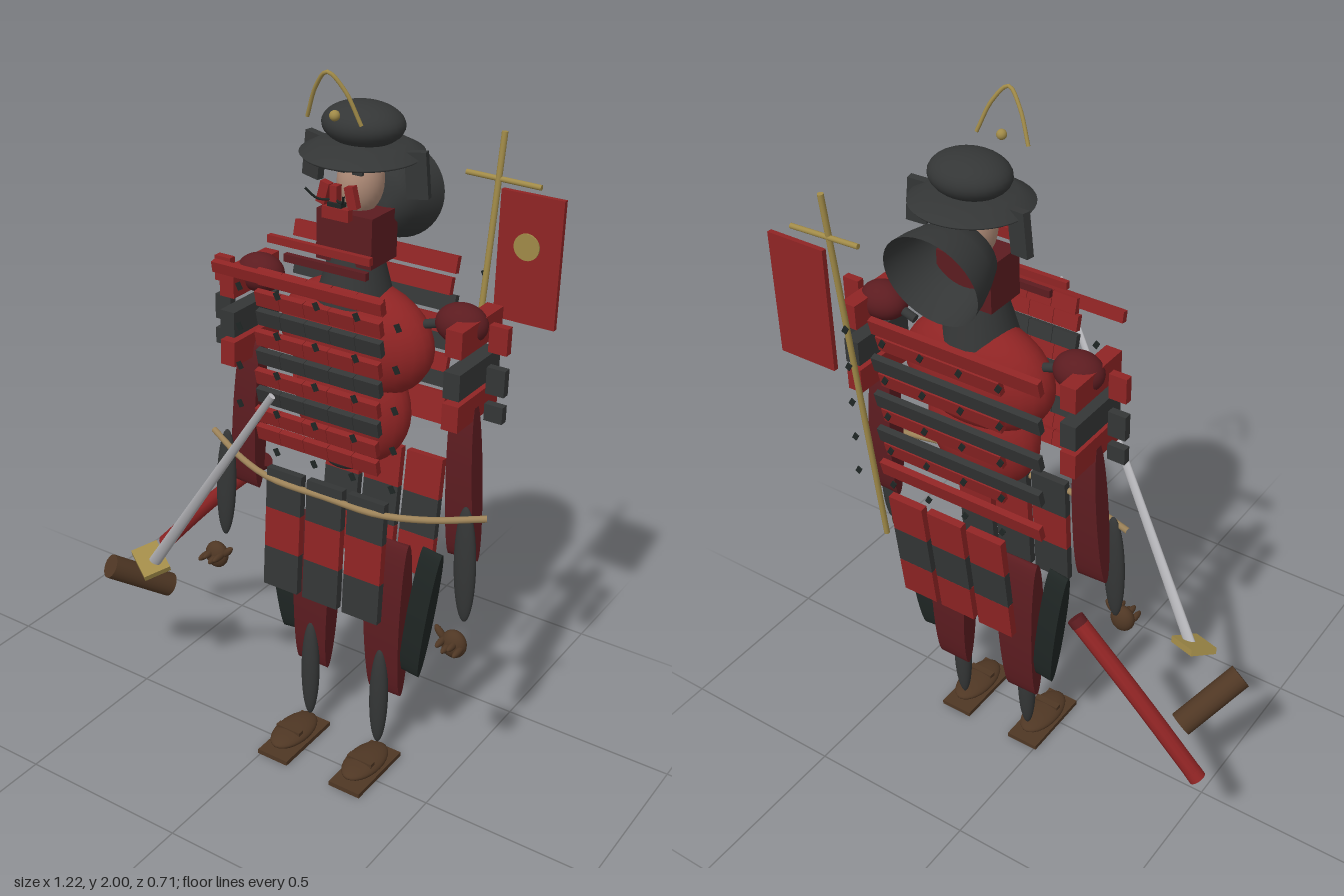
import * as THREE from 'three';

const RED = 0x8f2424, MAROON = 0x5c1c20, DARK = 0x343636, GREEN = 0x1f2624,
  GOLD = 0xa08a48, TAN = 0x9c8258, BROWN = 0x4f3724, STEEL = 0xb4b4b8, SKIN = 0xb08c78;
const CX = 0.165, CZ = -0.11; // body axis
const SIDES = [-1, 1];

export function createModel() {
  const root = new THREE.Group();
  const mats = {};
  const mat = (c) => (mats[c] ??= new THREE.MeshStandardMaterial({ color: c }));
  const V = (p) => new THREE.Vector3(...p);

  function add(name, geo, color, pos = [0, 0, 0], rot = [0, 0, 0], scale = [1, 1, 1]) {
    const m = new THREE.Mesh(geo, mat(color));
    m.name = name;
    m.position.set(...pos);
    m.rotation.set(...rot);
    m.scale.set(...scale);
    root.add(m);
    return m;
  }
  const box = (name, color, size, pos, rot) => add(name, new THREE.BoxGeometry(...size), color, pos, rot);
  const ball = (name, color, radii, pos, rot) =>
    add(name, new THREE.SphereGeometry(1, 28, 18), color, pos, rot, radii);
  const tube = (name, color, pts, r) =>
    add(name, new THREE.TubeGeometry(new THREE.CatmullRomCurve3(pts.map(V)), 24, r, 10), color);
  // straight rod between two points
  function rod(name, color, a, b, r, r2 = r) {
    const d = V(b).sub(V(a));
    const m = add(name, new THREE.CylinderGeometry(r2, r, d.length(), 18), color);
    m.position.copy(V(a)).addScaledVector(d, 0.5);
    m.quaternion.setFromUnitVectors(new THREE.Vector3(0, 1, 0), d.normalize());
    return m;
  }
  // panel with a lens-shaped side profile, wider or narrower at the top
  function lens(name, color, w, h, d, pos, rot, taper = 0) {
    const g = new THREE.CylinderGeometry(0.5, 0.5, 1, 32).rotateZ(Math.PI / 2);
    const p = g.attributes.position;
    for (let i = 0; i < p.count; i++) p.setX(i, p.getX(i) * (1 + taper * p.getY(i)));
    g.computeVertexNormals();
    return add(name, g, color, pos, rot, [w, h, d]);
  }

  // Torso
  ball('chest', RED, [0.222, 0.16, 0.113], [CX, 1.29, CZ]);
  ball('belly', RED, [0.17, 0.17, 0.09], [CX, 1.105, -0.1]);
  ball('pelvis', DARK, [0.07, 0.045, 0.06], [CX, 0.97, -0.08]);
  add('collar', new THREE.CylinderGeometry(0.065, 0.1, 0.13, 28), DARK, [CX, 1.465, -0.1]);
  box('neckGuard', MAROON, [0.16, 0.13, 0.12], [CX, 1.57, -0.1]);

  // Laced armour rows, front and back
  for (let r = 0; r < 9; r++) {
    const y = 1.46 - r * 0.054;
    const c = r === 2 || r === 4 || r === 6 ? DARK : RED;
    for (let k = 0; k < 5; k++)
      box('chestPlate', c, [0.072, 0.042, 0.018], [0.009 + k * 0.0735, y, 0.05 + (r % 2) * 0.006], [0.25, 0, 0]);
    if (r % 2 === 0) {
      box('backPlate', c, [0.5, 0.045, 0.018], [0.095, y, -0.302], [-0.25, 0, 0]);
      for (let k = 0; k < 5; k++) for (const z of [0.094, -0.332])
        box('lacing', GREEN, [0.014, 0.02, 0.004], [-0.055 + k * 0.115, y - 0.02, z], [0, 0, 0.5]);
    } else box('backPlate', c, [0.37, 0.045, 0.018], [0.155, y, -0.285], [-0.25, 0, 0]);
  }
  box('upperChestPlate', RED, [0.5, 0.03, 0.018], [0.095, 1.465, 0.065], [0.2, 0, 0]);
  box('throatPlate', RED, [0.3, 0.02, 0.015], [0.12, 1.545, 0]);
  box('throatPlate', MAROON, [0.24, 0.02, 0.015], [0.14, 1.505, 0]);

  // Skirt panels
  for (let k = 0; k < 3; k++) for (let r = 0; r < 3; r++) {
    const x = 0.04 + k * 0.1275, y = 0.855 - r * 0.118;
    box('frontSkirtPanel', r === 1 ? RED : DARK, [0.11, 0.118, 0.022], [x, y, 0.03 + (r - 1) * 0.006], [-0.05, 0, 0]);
    box('backSkirtPanel', r === 1 ? DARK : RED, [0.11, 0.118, 0.022], [x, y, -0.27 + r * 0.013], [-0.11, 0, 0]);
  }
  tube('belt', TAN, [[-0.26, 0.915, -0.06], [-0.13, 0.892, -0.005], [0, 0.883, 0.032], [CX, 0.88, 0.03],
    [0.33, 0.883, 0.032], [0.46, 0.892, -0.005], [0.595, 0.915, -0.06]], 0.009);

  // Arms and legs, mirrored about the body axis
  for (const s of SIDES) {
    const X = (d) => CX + s * d;
    ball('shoulder', MAROON, [0.068, 0.052, 0.055], [X(0.3), 1.395, CZ]);
    rod('shoulderJoint', DARK, [X(0.2), 1.37, CZ], [X(0.26), 1.39, CZ], 0.012);
    [[1.385, RED, RED], [1.275, DARK, DARK], [1.19, RED, DARK]].forEach(([y, a, b]) => {
      box('shoulderGuard', a, [0.045, 0.07, 0.205], [X(0.335), y, CZ]);
      box('shoulderGuardEdge', b, [0.05, y < 1.2 ? 0.045 : 0.07, 0.022], [X(0.41), y, -0.1]);
    });
    lens('sleeve', MAROON, 0.075, 0.45, 0.058, [X(0.335), 0.975, -0.105], [0, 0, s * 0.05], -0.25);
    ball('forearm', DARK, [0.031, 0.17, 0.019], [X(0.38), 0.765, -0.052], [0, 0, s * 0.04]);

    ball('hand', BROWN, [0.036, 0.04, 0.026], [X(0.385), 0.55, -0.008]);
    for (let f = 0; f < 4; f++)
      ball('finger', BROWN, [0.009, 0.01, 0.028], [X(0.36 + f * 0.017), 0.56 - (f % 2) * 0.012, 0.016]);
    ball('thumb', BROWN, [0.01, 0.024, 0.01], [X(0.345), 0.572, -0.005], [0, 0, s * 0.7]);

    lens('thigh', MAROON, 0.115, 0.5, 0.062, [X(0.117), 0.47, -0.118], [0, 0, s * 0.02], 0.3);
    lens('thighGuard', GREEN, 0.06, 0.42, 0.05, [X(0.222), 0.52, -0.12], [0, 0, -s * 0.13]);
    ball('shin', DARK, [0.028, 0.16, 0.022], [X(0.116), 0.215, -0.092]);
    box('sandal', BROWN, [0.1, 0.014, 0.225], [X(0.122), 0.007, -0.02]);
    ball('foot', BROWN, [0.052, 0.022, 0.095], [X(0.122), 0.036, -0.018]);
    box('sandalStrap', BROWN, [0.08, 0.012, 0.02], [X(0.122), 0.054, 0.005]);
  }

  // Head and face mask
  ball('head', SKIN, [0.058, 0.085, 0.062], [CX, 1.7, -0.112]);
  for (const s of SIDES) {
    box('brow', DARK, [0.028, 0.008, 0.01], [CX + s * 0.025, 1.735, -0.058]);
    box('maskCheek', RED, [0.025, 0.055, 0.02], [CX + s * 0.04, 1.69, -0.012], [0, 0, s * 0.25]);
    tube('whisker', GREEN, [[CX + s * 0.005, 1.682, 0.005], [CX + s * 0.035, 1.685, 0.025], [CX + s * 0.055, 1.715, 0.05]], 0.003);
  }
  box('maskNose', RED, [0.02, 0.04, 0.022], [CX, 1.698, 0]);
  box('maskChin', RED, [0.075, 0.03, 0.02], [CX, 1.645, -0.008]);
  box('maskMouth', GREEN, [0.04, 0.01, 0.024], [CX, 1.668, -0.006]);

  // Helmet: dome, brim, flared nape guard, side flaps and crest
  const lathe = (pts) => new THREE.LatheGeometry(pts.map((p) => new THREE.Vector2(...p)), 40);
  ball('helmetDome', DARK, [0.107, 0.055, 0.09], [CX, 1.84, -0.118]);
  add('helmetBrim', lathe([[0, -0.004], [0.15, -0.018], [0.155, -0.012], [0.11, 0.012], [0, 0.02]]), DARK,
    [CX, 1.785, -0.115], [0.03, 0, 0], [1, 1, 0.98]);
  const nape = add('napeGuard', lathe([[0, 0], [0.06, 0], [0.095, 0.012], [0.115, 0.06], [0.13, 0.11], [0.137, 0.15]]),
    DARK, [CX, 1.655, -0.14], [-Math.PI / 2 - 0.16, 0, 0], [1, 1, 0.9]);
  nape.material = new THREE.MeshStandardMaterial({ color: DARK, side: THREE.DoubleSide });
  for (const s of SIDES)
    box('helmetFlap', DARK, [0.055, 0.115, 0.022], [CX + s * 0.148, 1.735, -0.13], [0, s * 0.2, s * 0.1]);
  tube('crest', GOLD, [[0.09, 1.875, 0.012], [0.125, 1.955, 0.03], [CX, 1.996, 0.043],
    [0.205, 1.955, 0.03], [0.24, 1.875, 0.012]], 0.005);
  ball('crestKnob', GOLD, [0.013, 0.013, 0.013], [CX, 1.887, 0.01]);

  // Back banner
  rod('bannerPole', GOLD, [0.4, 0.74, -0.25], [0.428, 1.81, -0.345], 0.008);
  rod('bannerCrossbar', GOLD, [0.335, 1.695, -0.335], [0.54, 1.69, -0.338], 0.007);
  box('banner', RED, [0.172, 0.34, 0.014], [0.515, 1.495, -0.352]);
  add('bannerDisc', new THREE.CylinderGeometry(0.035, 0.035, 0.006, 28), GOLD, [0.51, 1.53, -0.343], [Math.PI / 2, 0, 0]);

  // Sword and scabbard
  const tip = [0.225, 1.315, 0.348], base = [-0.4, 0.49, 0.06];
  const blade = rod('swordBlade', STEEL, base, tip, 0.018, 0.009);
  blade.scale.z = 0.55;
  box('swordGuard', GOLD, [0.108, 0.018, 0.08], [-0.41, 0.495, 0.06], [0.3, -0.57, -0.15]);
  rod('swordGrip', BROWN, [-0.55, 0.435, 0.08], [-0.455, 0.325, -0.075], 0.036);
  tube('scabbard', RED, [[-0.595, 0.35, -0.234], [-0.42, 0.55, -0.249], [-0.225, 0.745, -0.256]], 0.023);
  rod('scabbardCap', RED, [-0.598, 0.346, -0.234], [-0.58, 0.367, -0.235], 0.0235);
  rod('scabbardMouth', MAROON, [-0.24, 0.73, -0.256], [-0.224, 0.746, -0.256], 0.0235);

  return root;
}
